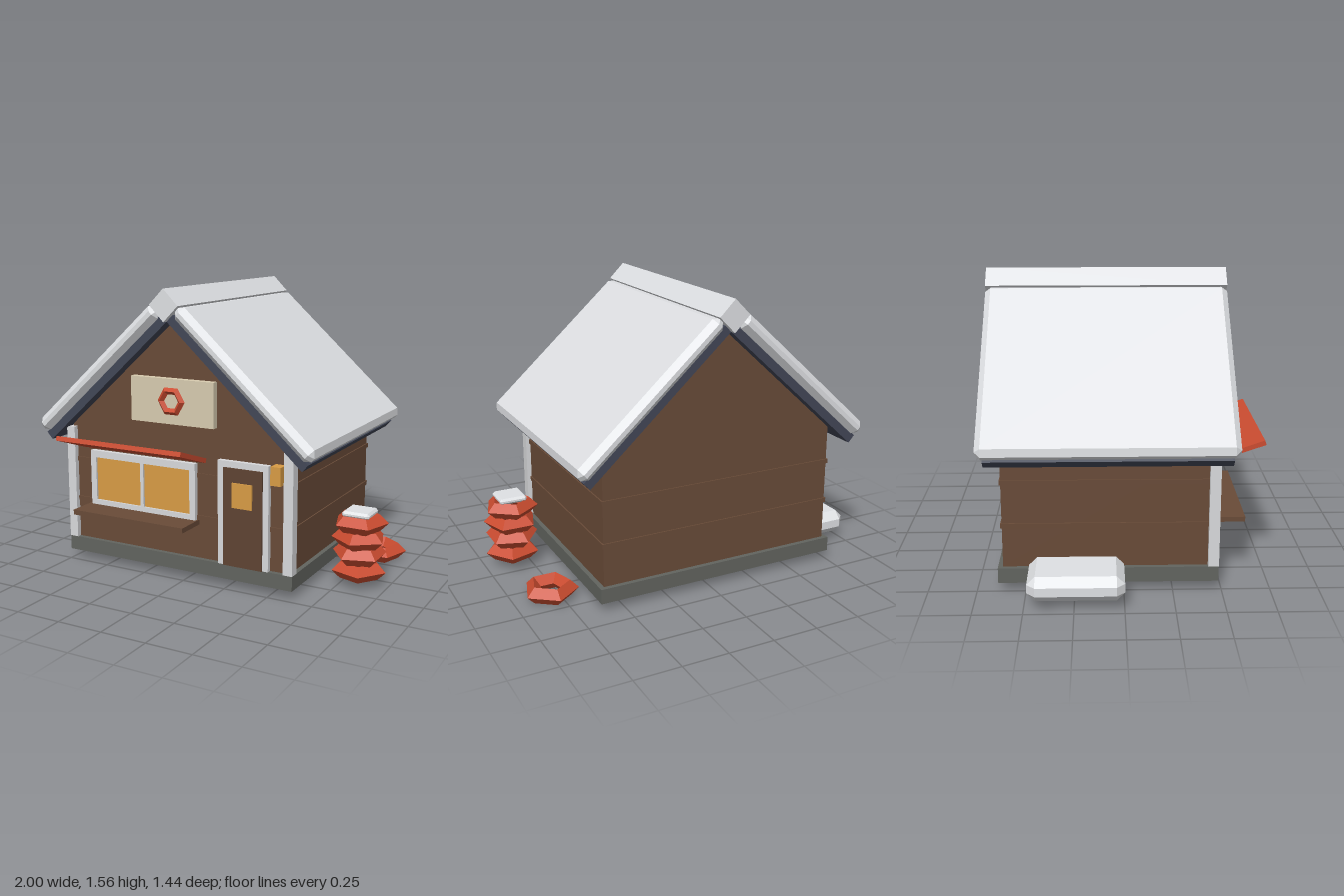
import * as THREE from 'three';
import { ConvexGeometry } from 'three/addons/geometries/ConvexGeometry.js';

const material = (name, color) => {
  const m = new THREE.MeshStandardMaterial({ color, flatShading: true });
  m.name = name;
  return m;
};

// Box with every edge cut at 45 degrees
function chamferBox(w, h, d, c) {
  const a = w / 2, b = h / 2, e = d / 2, pts = [];
  for (const x of [-1, 1]) for (const y of [-1, 1]) for (const z of [-1, 1]) {
    pts.push(
      new THREE.Vector3(x * a, y * (b - c), z * (e - c)),
      new THREE.Vector3(x * (a - c), y * b, z * (e - c)),
      new THREE.Vector3(x * (a - c), y * (b - c), z * e));
  }
  return new ConvexGeometry(pts);
}

export function createModel() {
  const model = new THREE.Group();
  model.name = 'snowyCabin';

  const wood = material('wood brown', 0x694b38);
  const doorWood = material('door brown', 0x5f4433);
  const snow = material('snow white', 0xdfe1e4);
  const trim = material('trim white', 0xd9dadc);
  const red = material('red', 0xcb4c30);
  const gold = material('warm glass', 0xd99c45);
  const cream = material('sign cream', 0xd8ccb0);
  const stone = material('foundation grey', 0x62645f);
  const slate = material('roof slate', 0x424757);

  const add = (name, geometry, mat, parent = model) => {
    const mesh = new THREE.Mesh(geometry, mat);
    mesh.name = name;
    parent.add(mesh);
    return mesh;
  };
  // Box given by its limits on each axis
  const box = (name, mat, x0, x1, y0, y1, z0, z1, chamfer = 0) => {
    const s = [x1 - x0, y1 - y0, z1 - z0];
    const g = chamfer ? chamferBox(...s, chamfer) : new THREE.BoxGeometry(...s);
    add(name, g, mat).position.set((x0 + x1) / 2, (y0 + y1) / 2, (z0 + z1) / 2);
  };

  const cx = -0.063, peak = 1.39, angle = 0.737;
  const wallHalf = 0.67, back = -0.615, front = 0.457;

  // Foundation and gabled walls
  box('foundation', stone, cx - 0.695, cx + 0.695, 0.05, 0.13, -0.64, 0.483);
  const eave = peak - wallHalf * Math.tan(angle);
  const gable = new THREE.Shape([
    [-wallHalf, 0.13], [wallHalf, 0.13], [wallHalf, eave], [0, peak], [-wallHalf, eave],
  ].map(([x, y]) => new THREE.Vector2(x, y)));
  add('walls', new THREE.ExtrudeGeometry(gable, { depth: front - back, bevelEnabled: false }), wood)
    .position.set(cx, 0, back);

  // Raised boards running round the walls, and front corner posts
  for (const y of [0.342, 0.572]) {
    box('wallBoard', wood, cx - wallHalf - 0.007, cx + wallHalf + 0.007, y, y + 0.025, back - 0.007, front + 0.007);
  }
  for (const s of [-1, 1]) {
    const x = cx + s * wallHalf;
    box('cornerPost', trim, x - 0.026, x + 0.026, 0.13, 0.77, 0.43, 0.485);
  }

  // Two roof slopes with a snow layer on each
  for (const s of [-1, 1]) {
    const slope = new THREE.Group();
    slope.name = s > 0 ? 'leftRoofSlope' : 'rightRoofSlope';
    slope.position.set(cx, peak, 0);
    slope.rotation.z = -s * angle;
    model.add(slope);
    add('roofSlab', new THREE.BoxGeometry(1.03, 0.05, 1.22), slate, slope)
      .position.set(s * 0.515, 0.025, -0.076);
    add('roofSnow', chamferBox(1.03, 0.084, 1.286, 0.03), snow, slope)
      .position.set(s * 0.515, 0.087, -0.078);
  }
  const ridge = add('ridgeCap', new THREE.BoxGeometry(0.12, 0.12, 1.288), snow);
  ridge.position.set(cx, 1.475, -0.078);
  ridge.rotation.z = Math.PI / 4;

  // Serving window, counter and awning
  const windowBars = [
    [-0.6, -0.565, 0.342, 0.65], [0.033, 0.068, 0.342, 0.65], [-0.275, -0.255, 0.37, 0.612],
    [-0.565, 0.033, 0.342, 0.37], [-0.565, 0.033, 0.612, 0.65],
  ];
  for (const [x0, x1, y0, y1] of windowBars) box('windowFrame', trim, x0, x1, y0, y1, 0.45, 0.485);
  box('windowGlass', gold, -0.565, 0.033, 0.37, 0.612, 0.465, 0.474);
  box('counter', wood, -0.617, 0.078, 0.315, 0.342, 0.45, 0.633);
  const awning = add('awning', new THREE.BoxGeometry(0.775, 0.025, 0.27), red);
  awning.position.set(-0.265, 0.713, 0.589);
  awning.rotation.x = -0.33;

  // Door, its frame and pane, and the lamp beside it
  for (const [x0, x1, y0, y1] of [
    [0.205, 0.24, 0.13, 0.69], [0.465, 0.497, 0.13, 0.69], [0.24, 0.465, 0.657, 0.69],
  ]) box('doorFrame', trim, x0, x1, y0, y1, 0.45, 0.485);
  box('door', doorWood, 0.24, 0.465, 0.13, 0.657, 0.45, 0.493);
  box('doorPane', gold, 0.295, 0.41, 0.45, 0.582, 0.493, 0.502);
  box('lamp', gold, 0.523, 0.58, 0.603, 0.7, 0.45, 0.52);

  // Gable sign with a six-sided ring
  box('sign', cream, -0.315, 0.187, 0.85, 1.09, 0.45, 0.495);
  add('signRing', new THREE.TorusGeometry(0.062, 0.02, 4, 6), red).position.set(-0.063, 0.973, 0.5);

  // Five-sided rings: a twisted stack with a snow cap, and one on the ground
  const ringGeometry = new THREE.TorusGeometry(0.104, 0.045, 4, 5);
  const ring = (name, x, y, z, degrees) => {
    const mesh = add(name, ringGeometry, red);
    mesh.position.set(x, y, z);
    mesh.rotation.set(-Math.PI / 2, 0, -THREE.MathUtils.degToRad(degrees));
  };
  [0, 36, 18, 54].forEach((turn, i) => ring('stackedRing', 0.848, 0.09 + i * 0.086, 0.105, turn));
  ring('looseRing', 0.8, 0.045, -0.357, 54);
  box('stackSnow', snow, 0.772, 0.924, 0.384, 0.418, 0.035, 0.187, 0.012);

  // Snow drift against the side wall
  box('snowDrift', snow, -1, -0.68, 0.05, 0.18, -0.482, 0.002, 0.042);

  return model;
}
